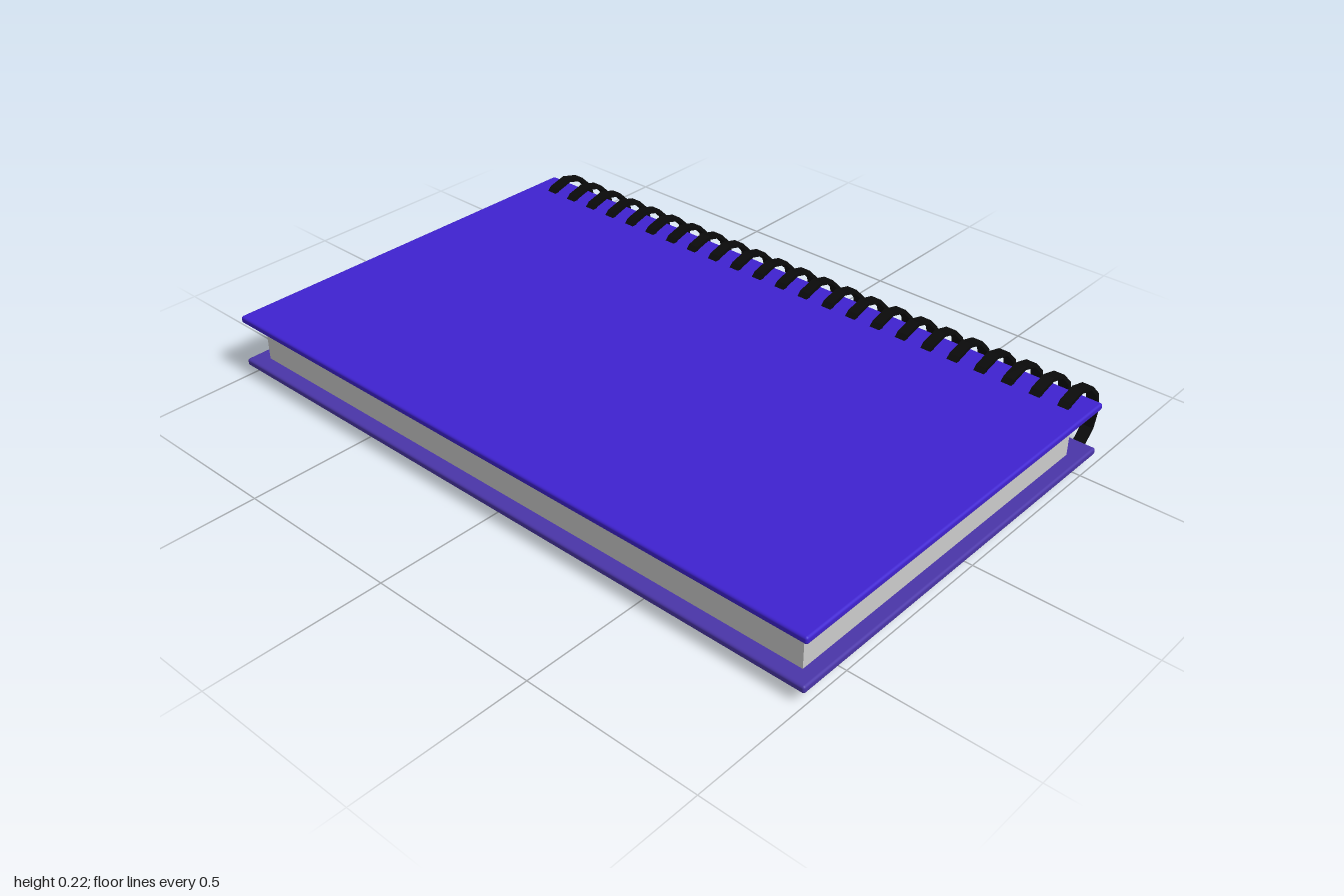
import * as THREE from 'three';
import { RoundedBoxGeometry } from 'three/addons/geometries/RoundedBoxGeometry.js';

const material = (color) => new THREE.MeshStandardMaterial({ color });

// Regular polygon outline with a corner on the +x axis
function polygon(radius, sides) {
  return Array.from({ length: sides }, (_, i) => {
    const a = (i / sides) * Math.PI * 2;
    return new THREE.Vector2(radius * Math.cos(a), radius * Math.sin(a));
  });
}

export function createModel() {
  const notebook = new THREE.Group();
  notebook.name = 'notebook';

  const add = (name, geometry, mat, x, y, z) => {
    const mesh = new THREE.Mesh(geometry, mat);
    mesh.name = name;
    mesh.position.set(x, y, z);
    notebook.add(mesh);
  };

  // Thin covers with softened edges
  const cover = new RoundedBoxGeometry(1.222, 0.021, 2, 2, 0.007);
  add('frontCover', cover, material(0x3f22d0), -0.044, 0.183, 0);
  add('backCover', cover, material(0x4a35a8), -0.044, 0.0445, 0);

  // Page block
  add('pages', new THREE.BoxGeometry(1.097, 0.118, 1.912), material(0xcccccc), -0.0615, 0.1135, 0.004);

  // Binding: a row of flat twelve-sided rings through the covers
  const ringCount = 23, ringWidth = 0.032;
  const ringShape = new THREE.Shape(polygon(0.11, 12));
  ringShape.holes.push(new THREE.Path(polygon(0.099, 12)));
  const ring = new THREE.ExtrudeGeometry(ringShape, { depth: ringWidth, bevelEnabled: false });
  ring.translate(0, 0, -ringWidth / 2);
  const black = material(0x0a0a0a);
  for (let i = 0; i < ringCount; i++) {
    const z = -0.921 + (i * 1.855) / (ringCount - 1);
    add(`bindingRing${i + 1}`, ring, black, 0.545, 0.111, z);
  }

  return notebook;
}
